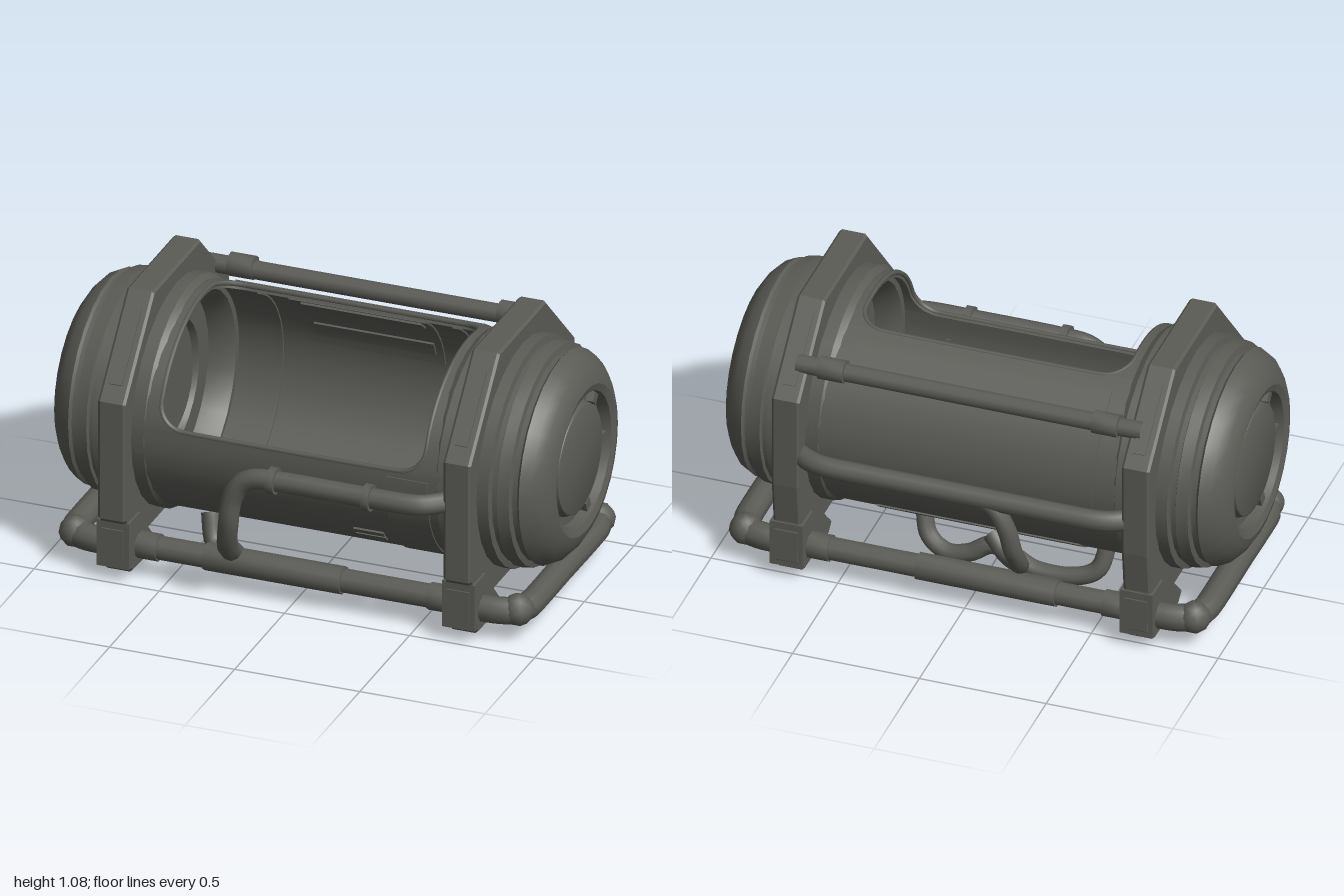
import * as THREE from 'three';
import { toCreasedNormals } from 'three/addons/utils/BufferGeometryUtils.js';

const CY = 0.575, CZ = -0.02; // tank axis
const WIDE = 1.1, CAP_WIDE = 1.05; // wall and caps are slightly wider than tall
const R_IN = 0.395, R_OUT = 0.42; // wall radii
const DEG = Math.PI / 180;
const V = (p) => new THREE.Vector3(...p);
const onTank = (x, r, t) => [x, CY + r * Math.sin(t), CZ + r * WIDE * Math.cos(t)];

// curved wall around the tank axis; each row is [angle, xStart, xEnd]
function shell(rows, rIn, rOut) {
  const pos = [];
  const loops = rows.map(([t, xa, xb]) => [[xa, rOut], [xb, rOut], [xb, rIn], [xa, rIn]]
    .map(([x, r]) => onTank(x, r, t)));
  const quad = (a, b, c, d) => pos.push(...a, ...b, ...c, ...a, ...c, ...d);
  for (let i = 0; i < loops.length - 1; i++) {
    for (let j = 0; j < 4; j++) {
      const k = (j + 1) % 4;
      quad(loops[i][j], loops[i][k], loops[i + 1][k], loops[i + 1][j]);
    }
  }
  const [a, b, c, d] = loops[0];
  quad(d, c, b, a);
  quad(...loops[loops.length - 1]);
  const g = new THREE.BufferGeometry();
  g.setAttribute('position', new THREE.Float32BufferAttribute(pos, 3));
  return toCreasedNormals(g, 0.6);
}

function arcRows(from, to, xa, xb, n = 12) {
  return Array.from({ length: n + 1 }, (_, i) => [(from + (to - from) * i / n) * DEG, xa, xb]);
}

export function createModel() {
  const root = new THREE.Group();
  root.name = 'capsule';
  const metal = new THREE.MeshStandardMaterial({ color: 0x5b5c56 });
  metal.name = 'dark grey metal';

  const add = (name, geo, parent = root) => {
    const m = new THREE.Mesh(geo, metal);
    m.name = name;
    parent.add(m);
    return m;
  };
  const box = (name, w, h, d, p, parent = root) => {
    const m = add(name, new THREE.BoxGeometry(w, h, d), parent);
    m.position.set(...p);
    return m;
  };
  const pipe = (name, pts, r, tension = 0.3) => {
    const curve = new THREE.CatmullRomCurve3(pts.map(V), false, 'catmullrom', tension);
    return add(name, new THREE.TubeGeometry(curve, pts.length * 6, r, 10));
  };
  // sleeve around a pipe that runs along x
  const sleeve = (name, x, y, z, r, len) => {
    const g = new THREE.CylinderGeometry(r, r, len, 10).rotateZ(Math.PI / 2);
    add(name, toCreasedNormals(g, 0.8)).position.set(x, y, z);
  };

  // tank wall with a round-cornered opening at the upper front
  const t0 = 8.5 * DEG, t1 = 114 * DEG, corner = 0.24;
  const halfWidth = (t) => {
    const e = Math.max(0, 1 - Math.min(t - t0, t1 - t) / corner);
    return 0.53 - 0.1 * (1 - Math.sqrt(Math.max(0, 1 - e * e)));
  };
  const open = Array.from({ length: 33 }, (_, i) =>
    (t0 + t1) / 2 - (t1 - t0) / 2 * Math.cos(Math.PI * i / 32));
  add('tankWall', shell(arcRows(114, 368.5, -0.62, 0.62, 36), R_IN, R_OUT));
  add('openingSideRight', shell(open.map((t) => [t, -0.62, -halfWidth(t)]), R_IN, R_OUT));
  add('openingSideLeft', shell(open.map((t) => [t, halfWidth(t), 0.62]), R_IN, R_OUT));

  // lip around the opening
  const lip = [...open.map((t) => V(onTank(halfWidth(t), R_OUT - 0.006, t))),
    ...[...open].reverse().map((t) => V(onTank(-halfWidth(t), R_OUT - 0.006, t)))];
  add('openingLip', new THREE.TubeGeometry(
    new THREE.CatmullRomCurve3(lip, true, 'centripetal'), 200, 0.01, 6, true));

  // raised panels on the outside and inside of the wall
  const outer = (name, rows, lift = 0.005) => add(name, shell(rows, R_OUT - 0.01, R_OUT + lift));
  const inner = (name, rows, lift = 0.007) => add(name, shell(rows, R_IN - lift, R_IN + 0.005));
  outer('frontPanel', arcRows(-75, 5, 0.385, 0.55));
  outer('backPanel', arcRows(122, 200, -0.5, 0.5));
  outer('bellyPanel', arcRows(225, 280, -0.4, 0.4));
  for (const a of [-44, -39]) outer('frontVent', arcRows(a, a + 3.5, 0.22, 0.34, 2), 0.007);
  inner('innerPanel', arcRows(122, 170, -0.28, 0.27));
  for (const a of [126, 154]) inner('innerSlat', arcRows(a, a + 9, -0.24, 0.24, 3), 0.015);
  for (const x of [-0.4, 0.38]) inner('innerRib', arcRows(120, 355, x, x + 0.02, 30));

  // end caps, as [x, radius] from the inner door out to the hub
  const cap = [[0.655, 0], [0.655, 0.2], [0.68, 0.21], [0.68, 0.25], [0.655, 0.26], [0.655, 0.35],
    [0.6, 0.365], [0.56, 0.385], [0.56, 0.425], [0.585, 0.442], [0.79, 0.44], [0.795, 0.415],
    [0.815, 0.415], [0.82, 0.428], [0.865, 0.422], [0.87, 0.4], [0.89, 0.4], [0.9, 0.41],
    [0.94, 0.39], [0.97, 0.358], [0.993, 0.32], [1.0, 0.29], [0.99, 0.262], [0.945, 0.255],
    [0.945, 0.22], [0.975, 0.21], [0.98, 0.2], [0.98, 0]].map(([x, r]) => new THREE.Vector2(r, x));

  // frame plate outline with both feet, as [z, y], and a round hole for the tank
  const outline = [[0.21, 1.08], [-0.26, 1.08], [-0.55, 0.8], [-0.55, 0.42], [-0.53, 0.25], [-0.54, 0.08],
    [-0.49, 0.02], [-0.22, 0.012], [-0.18, 0.05], [-0.26, 0.13], [0.26, 0.13], [0.18, 0.05], [0.2, 0.012],
    [0.43, 0.02], [0.485, 0.075], [0.485, 0.24], [0.505, 0.26], [0.505, 0.745]];
  const plateShape = new THREE.Shape(outline.map(([z, y]) => new THREE.Vector2(-z, y)));
  plateShape.holes.push(new THREE.Path().absellipse(-CZ, CY, 0.42 * CAP_WIDE, 0.42, 0, Math.PI * 2, true));

  for (const s of [1, -1]) {
    const side = s > 0 ? 'left' : 'right';
    const end = new THREE.Group();
    end.name = side + 'End';
    end.position.set(0, CY, CZ);
    end.rotation.y = s > 0 ? 0 : Math.PI;
    root.add(end);
    const capGeo = new THREE.LatheGeometry(cap, 28).rotateZ(-Math.PI / 2).scale(1, 1, CAP_WIDE);
    add('endCap', toCreasedNormals(capGeo, 0.5), end);
    // clips across the groove round the hub
    for (const a of [50, 175, 290, 355]) {
      const clip = box('hubClip', 0.05, 0.04, 0.04,
        [0.95, 0.238 * Math.sin(a * DEG), -0.245 * Math.cos(a * DEG)], end);
      clip.rotation.x = a * DEG;
    }

    // frame plate
    const plate = new THREE.ExtrudeGeometry(plateShape, { depth: 0.09, bevelEnabled: true,
      bevelThickness: 0.01, bevelSize: 0.008, bevelOffset: -0.008, bevelSegments: 1 });
    plate.rotateY(Math.PI / 2).translate(s * 0.69 - 0.045, 0, 0);
    add(side + 'FramePlate', plate);
    // long inlays on the sloping plate edges
    box('frontInlay', 0.05, 0.008, 0.3, [s * 0.69, 0.913, 0.36]).rotation.x = Math.atan2(0.335, 0.295);
    box('backInlay', 0.05, 0.008, 0.28, [s * 0.69, 0.94, -0.406]).rotation.x = -Math.atan2(0.28, 0.29);

    // foot clamps
    for (const z of [0.43, -0.48]) {
      box('footClamp', 0.13, 0.19, 0.115, [s * 0.69, 0.15, z]);
      box('footPad', 0.09, 0.13, 0.008, [s * 0.69, 0.15, z + Math.sign(z) * 0.06]);
    }

    // bumper pipe around the end
    pipe(side + 'Bumper', [[s * 0.66, 0.115, 0.4], [s * 0.8, 0.115, 0.4], [s * 0.87, 0.115, 0.38],
      [s * 0.905, 0.115, 0.3], [s * 0.905, 0.115, 0], [s * 0.905, 0.115, -0.35],
      [s * 0.87, 0.115, -0.44], [s * 0.8, 0.115, -0.46], [s * 0.66, 0.115, -0.46]], 0.052);
    for (const z of [0.375, -0.44]) {
      const elbow = add('bumperElbow', new THREE.IcosahedronGeometry(0.063, 1));
      elbow.position.set(s * 0.885, 0.12, z);
    }
  }

  // lower rails between the feet
  for (const [name, z] of [['frontRail', 0.39], ['backRail', -0.46]]) {
    pipe(name, [[-0.68, 0.12, z], [0, 0.12, z], [0.68, 0.12, z]], 0.046);
    sleeve(name + 'Sleeve', -0.08, 0.12, z, 0.054, 0.55);
    for (const x of [-0.58, 0.58]) sleeve(name + 'Collar', x, 0.12, z, 0.053, 0.08);
  }

  // upper rail at the back
  pipe('upperBackRail', [[-0.68, 0.9, -0.435], [0, 0.9, -0.435], [0.68, 0.9, -0.435]], 0.036);
  for (const x of [-0.54, 0.54]) sleeve('upperRailCollar', x, 0.905, -0.44, 0.046, 0.1);

  // middle rail at the back, with a hose curling under the tank
  pipe('middleBackRail', [[-0.68, 0.54, -0.48], [-0.6, 0.54, -0.53], [-0.5, 0.54, -0.55], [0, 0.54, -0.55],
    [0.5, 0.54, -0.55], [0.6, 0.54, -0.53], [0.68, 0.54, -0.48]], 0.04);
  pipe('backHose', [[-0.02, 0.54, -0.55], [-0.12, 0.52, -0.55], [-0.18, 0.43, -0.55], [-0.2, 0.32, -0.53],
    [-0.2, 0.22, -0.46], [-0.17, 0.16, -0.38], [-0.1, 0.15, -0.32], [-0.03, 0.2, -0.28]], 0.036, 0.5);

  // front handrail that turns down into a hose
  pipe('frontHandrail', [[0.67, 0.56, 0.42], [0.6, 0.56, 0.49], [0.52, 0.56, 0.53], [0.3, 0.56, 0.535],
    [0, 0.56, 0.535], [-0.13, 0.545, 0.535], [-0.19, 0.47, 0.54], [-0.21, 0.35, 0.535], [-0.235, 0.23, 0.48],
    [-0.25, 0.15, 0.38], [-0.27, 0.085, 0.29], [-0.33, 0.06, 0.23], [-0.4, 0.08, 0.19],
    [-0.43, 0.18, 0.15]], 0.04, 0.5);
  for (const x of [-0.03, 0.35]) sleeve('handrailCollar', x, 0.56, 0.535, 0.053, 0.03);

  // winding hose along the underside
  pipe('bellyHose', [[0.28, 0.2, -0.16], [0.25, 0.09, -0.2], [0.17, 0.04, -0.22], [0.08, 0.055, -0.22],
    [0, 0.1, -0.21], [-0.08, 0.08, -0.21], [-0.18, 0.038, -0.22], [-0.32, 0.038, -0.22],
    [-0.42, 0.08, -0.2], [-0.45, 0.19, -0.16]], 0.035, 0.5);

  return root;
}
